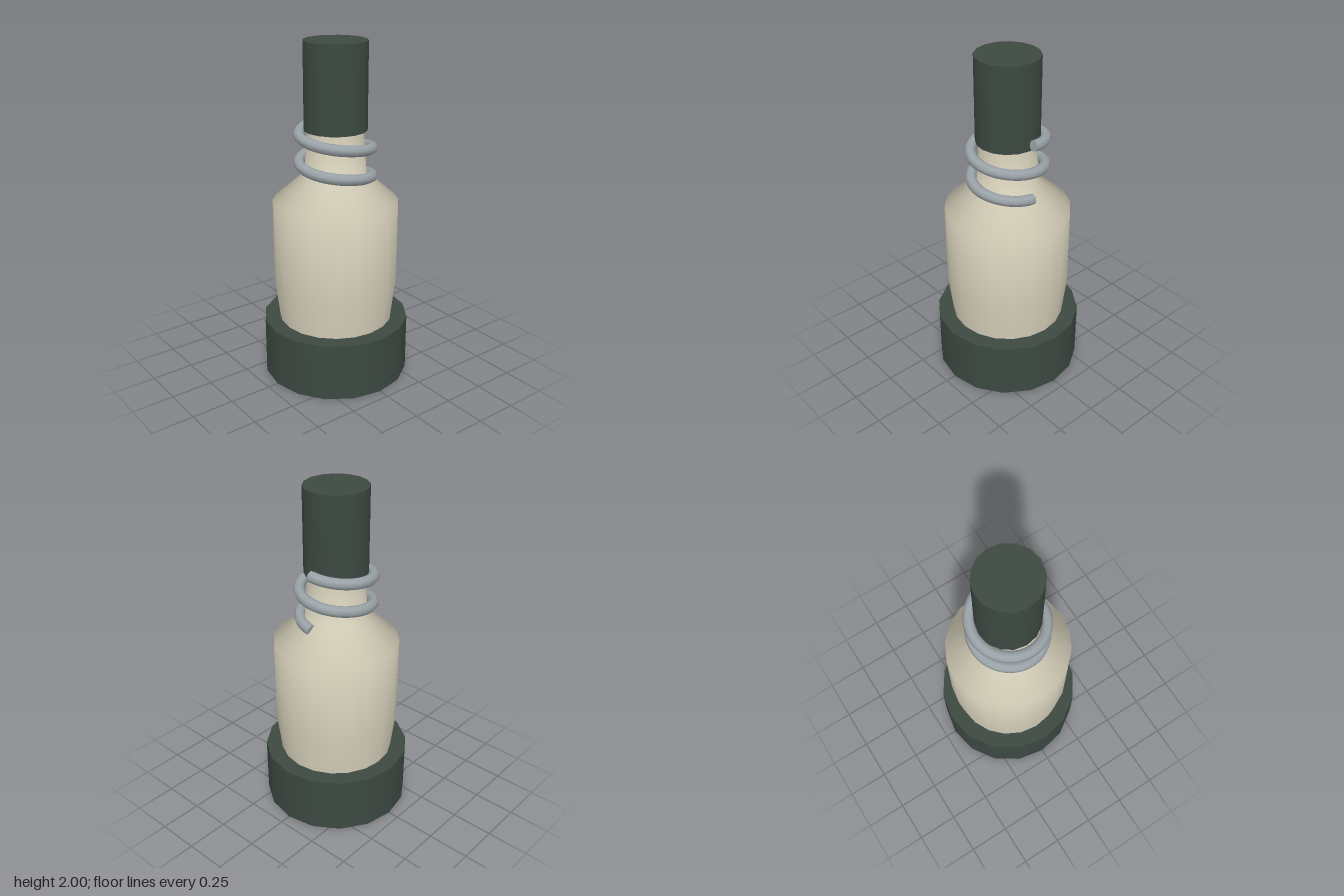
import * as THREE from 'three';

const paint = (name, color) => {
  const m = new THREE.MeshStandardMaterial({ color });
  m.name = name;
  return m;
};

// Rising coil path around the y axis, starting and ending on the +x side
class Coil extends THREE.Curve {
  constructor(radius, bottom, pitch, turns) {
    super();
    Object.assign(this, { radius, bottom, pitch, turns });
  }
  getPoint(t, target = new THREE.Vector3()) {
    const a = t * this.turns * Math.PI * 2;
    return target.set(
      Math.cos(a) * this.radius,
      this.bottom + t * this.turns * this.pitch,
      Math.sin(a) * this.radius
    );
  }
}

export function createModel() {
  const group = new THREE.Group();
  const darkGreen = paint('dark green', 0x3d4942);
  const cream = paint('cream', 0xd6d0ba);
  const steel = paint('steel grey', 0x9aa3a8);

  const add = (name, geometry, material, y = 0) => {
    const mesh = new THREE.Mesh(geometry, material);
    mesh.name = name;
    mesh.position.y = y;
    group.add(mesh);
    return mesh;
  };

  // Wide base collar and narrow top cap
  add('baseCollar', new THREE.CylinderGeometry(0.435, 0.435, 0.345, 16), darkGreen, 0.1725);
  add('topCap', new THREE.CylinderGeometry(0.183, 0.183, 0.5, 16), darkGreen, 1.75);

  // Turned body: tapered foot, straight barrel, sloping shoulder, neck
  const profile = [[0.3, 0.01], [0.367, 0.58], [0.367, 1.08], [0.18, 1.24], [0.16, 1.51]]
    .map(([r, y]) => new THREE.Vector2(r, y));
  add('body', new THREE.LatheGeometry(profile, 20), cream);

  // Wire spring around the neck, closed with a disc at each end
  const wire = 0.032;
  const coil = new Coil(0.21, 1.21, 0.166, 2);
  add('spring', new THREE.TubeGeometry(coil, 96, wire, 8, false), steel);
  for (const [t, sign] of [[0, -1], [1, 1]]) {
    const end = add('springEnd', new THREE.CircleGeometry(wire, 8), steel);
    const outward = coil.getTangent(t).multiplyScalar(sign);
    end.position.copy(coil.getPoint(t));
    end.quaternion.setFromUnitVectors(new THREE.Vector3(0, 0, 1), outward);
  }

  return group;
}
